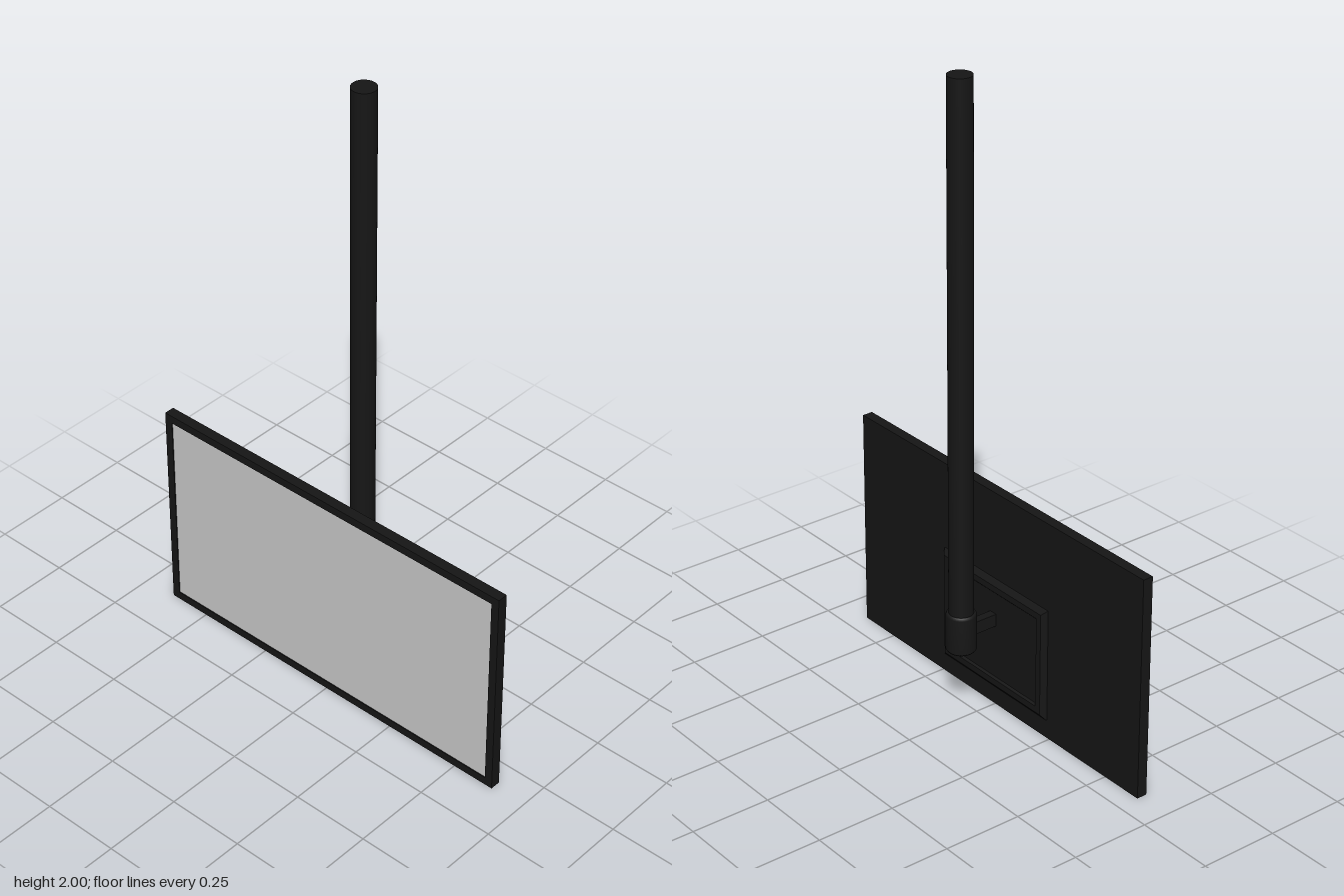
import * as THREE from 'three';

const black = new THREE.MeshStandardMaterial({ color: 0x161616 });
const blackFlat = new THREE.MeshStandardMaterial({ color: 0x161616, flatShading: true });
const grey = new THREE.MeshStandardMaterial({ color: 0xcccccc });

const POLE_Z = -0.057; // pole axis
const PANEL = { w: 1.28, h: 0.706, front: 0.103, back: 0.07, rim: 0.026 };

function add(group, name, geometry, material, x = 0, y = 0, z = 0) {
  const mesh = new THREE.Mesh(geometry, material);
  mesh.name = name;
  mesh.position.set(x, y, z);
  group.add(mesh);
  return mesh;
}

// Rectangular rings [halfWidth, halfHeight, z] joined towards -z and capped at the last
function rectLoft(rings) {
  const corners = [[-1, -1], [-1, 1], [1, 1], [1, -1]];
  const pos = [], index = [];
  for (const [w, h, z] of rings) for (const [sx, sy] of corners) pos.push(sx * w, sy * h, z);
  for (let r = 0; r < rings.length - 1; r++) {
    for (let k = 0; k < 4; k++) {
      const a = r * 4 + k, b = r * 4 + (k + 1) % 4;
      index.push(a, b, b + 4, a, b + 4, a + 4);
    }
  }
  const c = (rings.length - 1) * 4;
  index.push(c, c + 1, c + 2, c, c + 2, c + 3);
  const geometry = new THREE.BufferGeometry();
  geometry.setAttribute('position', new THREE.Float32BufferAttribute(pos, 3));
  geometry.setIndex(index);
  const flat = geometry.toNonIndexed();
  flat.computeVertexNormals();
  return flat;
}

function rectangle(Type, w, h) {
  return new Type([[-1, -1], [1, -1], [1, 1], [-1, 1]].map(([x, y]) => new THREE.Vector2(x * w / 2, y * h / 2)));
}

export function createModel() {
  const model = new THREE.Group();
  model.name = 'ceilingMountedDisplay';
  const { w, h, front, back, rim } = PANEL;
  const midY = h / 2;

  // Display: back shell, raised bezel and slightly recessed screen
  const display = new THREE.Group();
  display.name = 'display';
  model.add(display);
  const lip = 0.005;
  const shellDepth = front - back - lip;
  add(display, 'backShell', new THREE.BoxGeometry(w, h, shellDepth), black, 0, midY, back + shellDepth / 2);
  const frame = rectangle(THREE.Shape, w, h);
  frame.holes.push(rectangle(THREE.Path, w - 2 * rim, h - 2 * rim));
  add(display, 'bezel', new THREE.ExtrudeGeometry(frame, { depth: lip, bevelEnabled: false }), black, 0, midY, front - lip);
  add(display, 'screen', new THREE.PlaneGeometry(w - 2 * rim, h - 2 * rim), grey, 0, midY, front - lip + 0.002);

  // Chamfered rear housing with a shallow recess
  add(model, 'rearHousing', rectLoft([
    [0.24, 0.183, back + 0.002],
    [0.238, 0.181, 0.066],
    [0.224, 0.167, 0.055],
    [0.204, 0.147, 0.055],
    [0.198, 0.141, 0.061],
  ]), blackFlat, 0, 0.243, 0);

  // Arm from the pole collar to the housing
  add(model, 'mountArm', new THREE.BoxGeometry(0.027, 0.04, 0.115), black, 0, 0.295, 0.005);

  // Pole
  const poleBottom = 0.3;
  add(model, 'pole', new THREE.CylinderGeometry(0.037, 0.037, 2 - poleBottom, 32), black, 0, (2 + poleBottom) / 2, POLE_Z);

  // Collar with softened rims
  const profile = [[0, 0.235], [0.041, 0.235], [0.046, 0.242], [0.046, 0.353], [0.042, 0.36], [0.036, 0.36]];
  const collar = new THREE.LatheGeometry(profile.map(([x, y]) => new THREE.Vector2(x, y)), 32);
  add(model, 'collar', collar, black, 0, 0, POLE_Z);

  return model;
}
